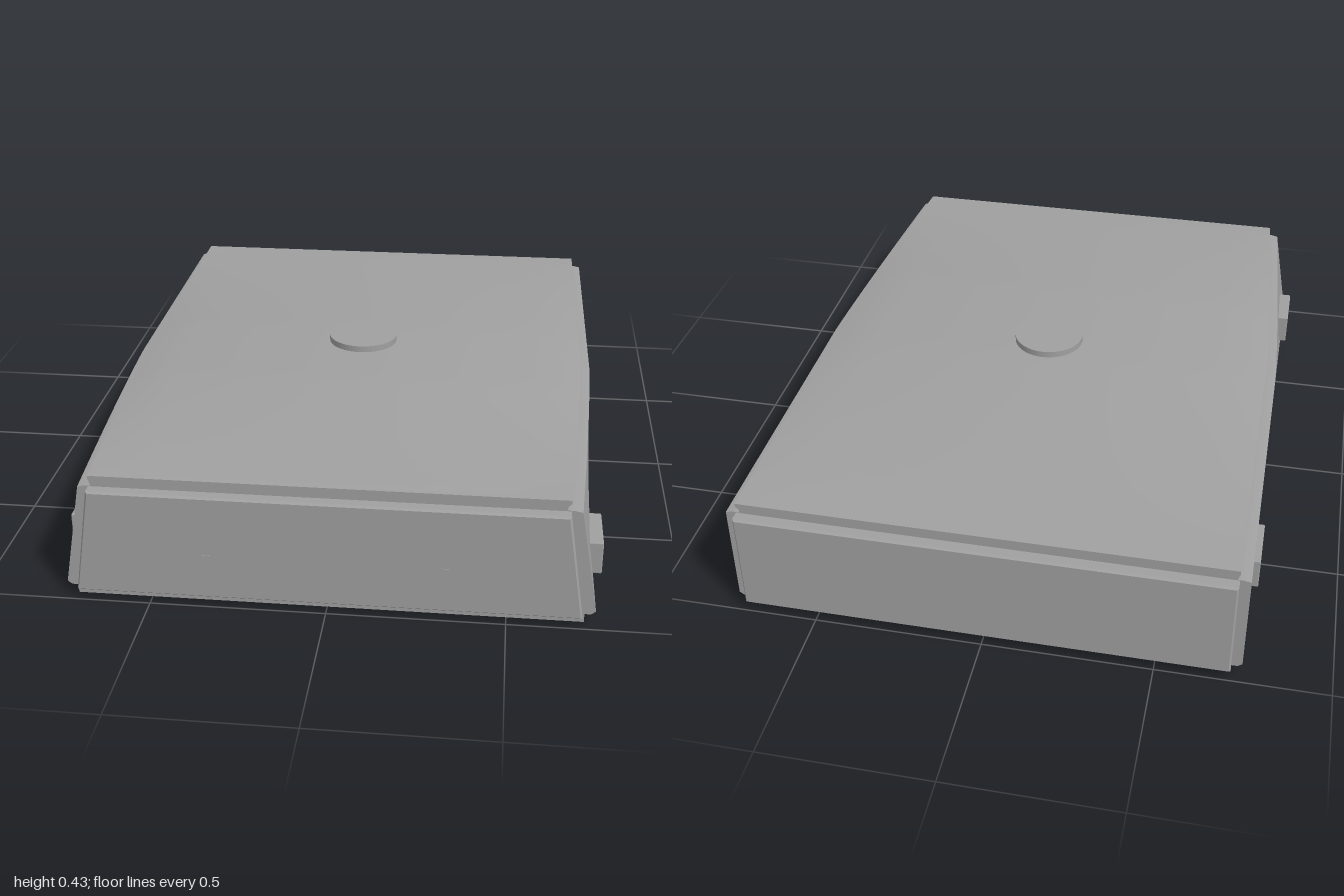
import * as THREE from 'three';
import { toCreasedNormals } from 'three/addons/utils/BufferGeometryUtils.js';
import { RoundedBoxGeometry } from 'three/addons/geometries/RoundedBoxGeometry.js';

const W = 0.715, L = 0.965, WALL_TOP = 0.345;
const clamp = (v) => Math.min(1, Math.max(0, v));

// Inward lean of the upper sides, growing towards the front
const lean = (z) => 0.055 * Math.pow(clamp(z / L), 1.25);
const halfWidth = (y, z) => W - lean(z) * clamp((y - 0.035) / 0.31);

// Crown of the lid along its length
const crown = (z) => 0.38 + 0.032 * Math.pow(clamp(z > 0 ? (L - z) / 0.65 : (L + z) / 0.86), 0.88);

// Closed skin through counter-clockwise [x, y] sections at rising z
function loft(stations, section, crease = 0.3) {
  const rings = stations.map((z, i) => section(z, i).map(([x, y]) => [x, y, z]));
  const n = rings[0].length, pos = [];
  const tri = (a, b, c) => pos.push(...a, ...b, ...c);
  for (let i = 0; i < rings.length - 1; i++) {
    for (let k = 0; k < n; k++) {
      const a = rings[i][k], b = rings[i][(k + 1) % n];
      const c = rings[i + 1][(k + 1) % n], d = rings[i + 1][k];
      tri(a, b, c);
      tri(a, c, d);
    }
  }
  const first = rings[0], last = rings[rings.length - 1];
  for (let k = 1; k < n - 1; k++) {
    tri(first[0], first[k + 1], first[k]);
    tri(last[0], last[k], last[k + 1]);
  }
  const g = new THREE.BufferGeometry();
  g.setAttribute('position', new THREE.Float32BufferAttribute(pos, 3));
  return toCreasedNormals(g, crease);
}

export function createModel() {
  const group = new THREE.Group();
  const material = new THREE.MeshStandardMaterial({ color: 0xa0a0a0 });
  const add = (name, geometry, x = 0, y = 0, z = 0) => {
    const mesh = new THREE.Mesh(geometry, material);
    mesh.name = name;
    mesh.position.set(x, y, z);
    group.add(mesh);
  };
  const zs = Array.from({ length: 65 }, (_, i) => -L + (2 * L * i) / 64);

  // Inner body with its foot
  add('body', loft(zs, (z) => {
    const top = halfWidth(0.35, z);
    return [[-W, 0], [W, 0], [W, 0.035], [top, 0.35], [-top, 0.35], [-W, 0.035]];
  }));

  // Crowned lid with a slightly undercut rim and sloping shoulders
  add('lid', loft(zs, (z) => {
    const w = halfWidth(1, z), s = w - 0.145, h = crown(z);
    return [[-w + 0.01, 0.34], [w - 0.01, 0.34], [w - 0.01, 0.36], [w, 0.37], [w, 0.38],
      [s, h], [-s, h], [-w, 0.38], [-w, 0.37], [-w + 0.01, 0.36]];
  }, 0.5));

  for (const s of [1, -1]) {
    // Side panels, bevelled along the top and bottom
    add(s > 0 ? 'leftPanel' : 'rightPanel', loft(zs, (z) => {
      const at = (y, out) => [s * (halfWidth(y, z) + out), y];
      const ring = [at(0.026, -0.02), at(0.026, 0.018), at(0.036, 0.031),
        at(WALL_TOP, 0.031), at(WALL_TOP + 0.005, 0.01), at(WALL_TOP + 0.005, -0.02)];
      return s > 0 ? ring : ring.reverse();
    }));

    // Latch pads on the sides
    for (const z of [0.747, -0.602]) {
      add('sidePad', new RoundedBoxGeometry(0.09, 0.1, 0.17, 2, 0.004), s * 0.72, 0.125, z);
    }

    // Small slots on the front
    add('frontSlot', new THREE.BoxGeometry(0.022, 0.005, 0.004), s * 0.33, 0.166, 1);
  }

  // End panels: plates with a fine bevel, the front one a trapezoid
  const endPanel = (top, bottom, stations, insets) => loft(stations, (z, i) => {
    const d = insets[i];
    return [[-bottom + d, 0.03 + d], [bottom - d, 0.03 + d],
      [top - d, WALL_TOP + 0.003 - d], [-top + d, WALL_TOP + 0.003 - d]];
  });
  add('frontPanel', endPanel(0.66, 0.708, [0.94, 0.994, 1], [0, 0, 0.005]));
  add('backPanel', endPanel(W, W, [-1, -0.994, -0.94], [0.005, 0, 0]));

  // Round button on the lid
  add('button', new THREE.CylinderGeometry(0.11, 0.11, 0.05, 64), 0, 0.407, 0);

  return group;
}
